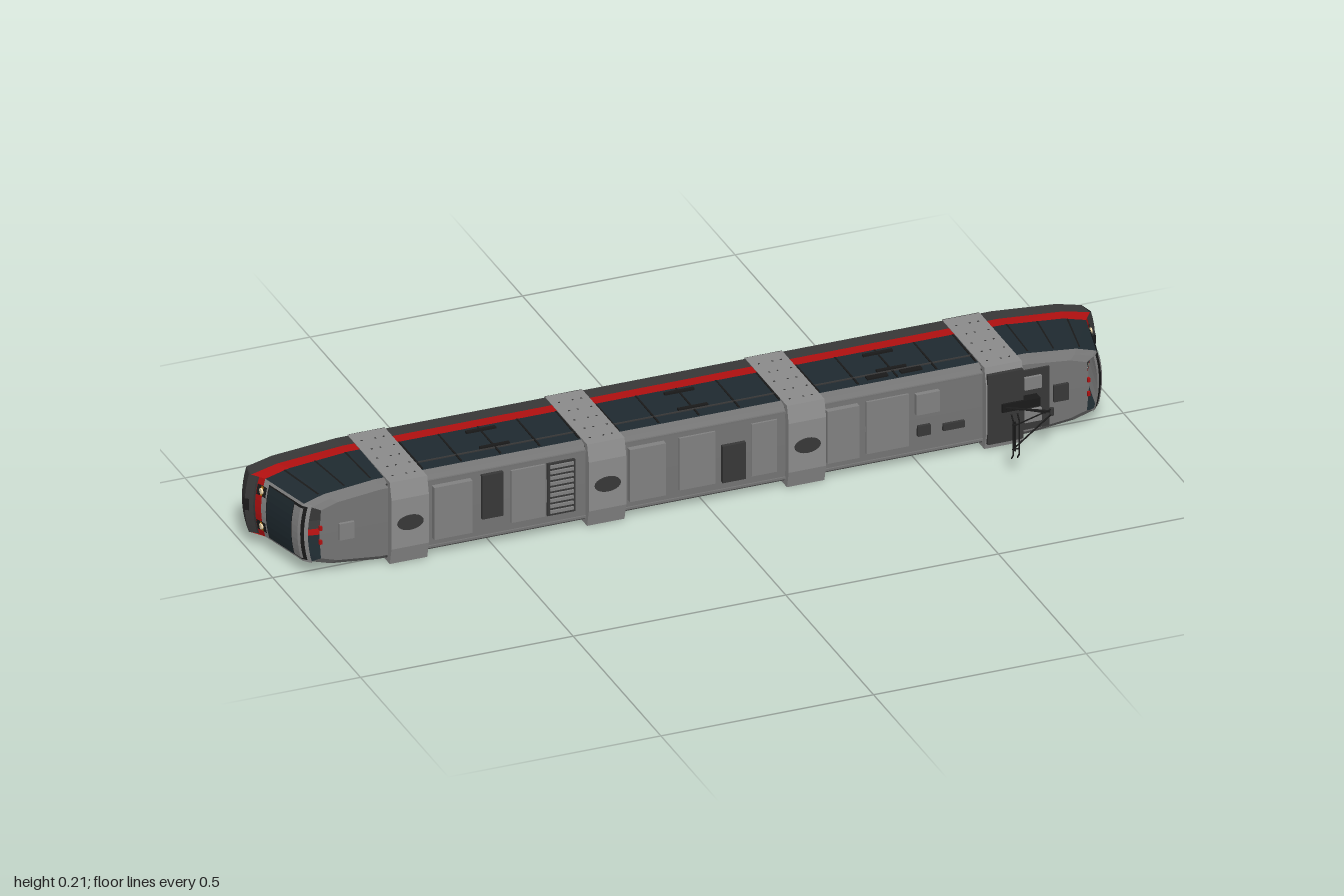
import * as THREE from 'three';

const C = { grey: 0x8c8c8c, roof: 0x757575, panel: 0x828282, dark: 0x383838, black: 0x1a1a1a,
  red: 0xb01010, glass: 0x1f2a30, orange: 0xb87310, cream: 0xf2dcb0 };
const mats = {};
const mat = (c) => (mats[c] ??= new THREE.MeshStandardMaterial({
  color: C[c], flatShading: true, side: THREE.DoubleSide }));

// The tram is modelled upright (x along, y up, z across) and then laid on its back.
export function createModel() {
  const model = new THREE.Group();
  const tram = new THREE.Group();
  tram.name = 'tram';
  tram.rotation.x = Math.PI / 2;
  tram.position.y = 0.103;
  model.add(tram);

  const add = (name, geo, color, parent = tram) => {
    const m = new THREE.Mesh(geo, mat(color));
    m.name = name;
    parent.add(m);
    return m;
  };
  // box given by its limits on each axis
  const box = (name, color, x0, x1, y0, y1, z0, z1) => {
    const m = add(name, new THREE.BoxGeometry(Math.abs(x1 - x0), Math.abs(y1 - y0), Math.abs(z1 - z0)), color);
    m.position.set((x0 + x1) / 2, (y0 + y1) / 2, (z0 + z1) / 2);
    return m;
  };
  // surface through rows of points
  const loft = (name, color, rows) => {
    const n = rows[0].length, idx = [];
    for (let i = 0; i < rows.length - 1; i++)
      for (let j = 0; j < n - 1; j++) {
        const a = i * n + j, b = a + n;
        idx.push(a, b, a + 1, b, b + 1, a + 1);
      }
    const g = new THREE.BufferGeometry();
    g.setAttribute('position', new THREE.Float32BufferAttribute(rows.flat(2), 3));
    g.setIndex(idx);
    g.computeVertexNormals();
    return add(name, g, color);
  };
  const rod = (name, color, pts, r = 0.002) => {
    for (let i = 0; i < pts.length - 1; i++) {
      const a = new THREE.Vector3(...pts[i]), b = new THREE.Vector3(...pts[i + 1]);
      const m = add(name, new THREE.CylinderGeometry(r, r, a.distanceTo(b), 6), color);
      m.position.copy(a).add(b).multiplyScalar(0.5);
      m.quaternion.setFromUnitVectors(new THREE.Vector3(0, 1, 0), b.sub(a).normalize());
    }
  };
  const lerpTable = (t, v) => {
    if (v <= t[0][0]) return t[0][1];
    for (let i = 1; i < t.length; i++)
      if (v <= t[i][0]) return THREE.MathUtils.mapLinear(v, t[i - 1][0], t[i][0], t[i - 1][1], t[i][1]);
    return t[t.length - 1][1];
  };

  // half cross-section [height, half width], by colour band
  const W = 0.0985;
  const bands = [
    ['skirt', 'dark', [[-0.195, 0], [-0.195, W], [-0.157, W]]],
    ['redStripe', 'red', [[-0.157, W], [-0.127, W]]],
    ['sideGlazing', 'glass', [[-0.127, W], [0.01, 0.0965]]],
    ['roofShell', 'roof', [[0.01, 0.0965], [0.026, 0.092], [0.034, 0.082], [0.035, 0]]],
  ];
  const cabNose = [[-0.195, 0.992], [-0.16, 1], [-0.148, 0.985], [-0.127, 0.975], [0.01, 0.942], [0.026, 0.928], [0.035, 0.905]];
  const cabTaper = [[0, 1], [0.12, 1], [0.75, 0.87], [1, 0.72]];
  const BOW = 0.01, START = 0.742;
  const cabPoint = (t, h, w) =>
    [THREE.MathUtils.lerp(START, lerpTable(cabNose, h) - BOW * (w / W) ** 2, t), h, w * lerpTable(cabTaper, t)];

  // three middle cars
  const cars = [[-0.655, -0.278], [-0.193, 0.193], [0.278, 0.655]];
  for (const [x0, x1] of cars) {
    for (const s of [1, -1]) {
      for (const [name, color, pts] of bands)
        loft(name, color, [x0, x1].map((x) => pts.map(([h, w]) => [x, h, s * w])));
      // window and door posts, transom
      for (let i = 0; i <= 4; i++) {
        const x = THREE.MathUtils.lerp(x0 + 0.004, x1 - 0.004, i / 4);
        box('windowPost', 'black', x - 0.002, x + 0.002, -0.127, 0.005, s * 0.096, s * 0.0993);
      }
      box('windowTransom', 'dark', x0, x1, -0.026, -0.022, s * 0.096, s * 0.0993);
      // side markers
      const mid = (x0 + x1) / 2;
      for (const y of [-0.03, -0.108])
        box('sideMarker', s > 0 ? 'orange' : 'black', mid - 0.035, mid + 0.035, y - 0.004, y + 0.004, s * 0.098, s * 0.103);
    }
    for (const x of [x0, x1]) box('bulkhead', 'dark', x - 0.002, x + 0.002, -0.194, 0.03, -0.09, 0.09);
  }
  for (const x of [0.4, 0.48]) box('sideVent', 'black', x, x + 0.05, -0.018, -0.004, -0.096, -0.1005);

  // tapered cabs at both ends
  for (const e of [1, -1]) {
    const flip = (p) => [p[0] * e, p[1], p[2]];
    for (const s of [1, -1]) {
      for (const [name, color, pts] of bands)
        loft('cab ' + name, color, cabTaper.map(([t]) => {
          return pts.map(([h, w]) => flip(cabPoint(t, h, s * w)));
        }));
      for (const t of [0.16, 0.48, 0.8]) {
        const post = (d) => [-0.127, 0.005].map((h) => {
          const p = flip(cabPoint(t + d, h, s * W));
          p[2] += s * 0.001;
          return p;
        });
        loft('cabWindowPost', 'black', [post(-0.01), post(0.01)]);
      }
    }
    box('bulkhead', 'dark', e * 0.742, e * 0.746, -0.194, 0.03, -0.09, 0.09);

    // patch on the bowed nose; u runs across from -1 to 1
    const patch = (name, color, h0, h1, u0, u1, out = 0) => {
      const hs = [h0, ...cabNose.map((p) => p[0]).filter((h) => h > h0 && h < h1), h1];
      loft(name, color, hs.map((h) => Array.from({ length: 9 }, (_, i) => {
        const p = cabPoint(1, h, W * THREE.MathUtils.lerp(u0, u1, i / 8));
        p[0] += out;
        return flip(p);
      })));
    };
    patch('bumper', 'dark', -0.195, -0.143, -1, 1);
    patch('frontStripe', 'red', -0.143, -0.127, -1, 1);
    patch('windscreenFrame', 'grey', -0.127, 0.026, -1, 1);
    patch('windscreenSurround', 'black', -0.108, 0.02, -0.92, 0.92, 0.0015);
    patch('windscreen', 'glass', -0.104, -0.015, -0.89, 0.89, 0.003);
    patch('destinationPanel', 'panel', -0.012, 0.015, -0.86, 0.86, 0.004);
    patch('couplerCover', 'black', -0.168, -0.153, -0.2, 0.2, 0.0015);
    for (const s of [1, -1]) {
      const u = s * 0.61;
      patch('lampHousing', 'black', -0.14, -0.112, u - 0.17, u + 0.17, 0.002);
      patch('indicator', 'orange', -0.129, -0.122, u - 0.16, u + 0.16, 0.003);
      const lamp = add('headlight', new THREE.CylinderGeometry(0.007, 0.007, 0.004, 16), 'cream');
      lamp.rotation.z = Math.PI / 2;
      lamp.position.set(e * 0.975, -0.126, s * 0.043);
      box('tailLight', 'red', e * 0.9, e * 0.906, 0.033, 0.04, s * 0.012, s * 0.022);
    }
  }

  // articulation covers: an inverted U with a raised floor
  const u = new THREE.Shape([
    [-0.1, -0.197], [-0.1, 0.044], [-0.06, 0.054], [0.06, 0.054], [0.1, 0.044], [0.1, -0.197],
    [0.075, -0.197], [0.075, -0.175], [-0.075, -0.175], [-0.075, -0.197],
  ].map((p) => new THREE.Vector2(...p)));
  const coverGeo = new THREE.ExtrudeGeometry(u, { depth: 0.088, bevelEnabled: false });
  coverGeo.translate(0, 0, -0.044).rotateY(Math.PI / 2);
  for (const x of [-0.699, -0.235, 0.235, 0.699]) {
    add('articulationCover', coverGeo, 'grey').position.x = x;
    box('articulationFloor', 'dark', x - 0.043, x + 0.043, -0.18, -0.174, -0.075, 0.075);
    for (const s of [1, -1]) {
      box('articulationSill', 'dark', x - 0.044, x + 0.044, -0.198, -0.196, s * 0.074, s * 0.1);
      for (let i = 0; i < 15; i++) {
        const rx = x + ((i % 3) - 1) * 0.026 + (i % 2) * 0.006, ry = -0.16 + Math.floor(i / 3) * 0.044;
        box('rivet', 'dark', rx - 0.002, rx + 0.002, ry - 0.002, ry + 0.002, s * 0.0995, s * 0.1006);
      }
    }
    if (x < 0.5) {
      const hatch = add('roofHatch', new THREE.CylinderGeometry(0.018, 0.018, 0.004, 20), 'dark');
      hatch.scale.x = 1.7;
      hatch.position.set(x, 0.055, 0);
    }
  }

  // roof equipment: name, colour, x limits, z limits, top
  const equipment = [
    ['ventBox', 'panel', -0.86, -0.825, -0.02, 0.02, 0.042],
    ['ventBox', 'dark', 0.82, 0.855, -0.02, 0.02, 0.042],
    ['airUnit', 'panel', -0.64, -0.55, -0.068, 0.06, 0.048],
    ['airUnit', 'panel', -0.18, -0.095, -0.068, 0.06, 0.048],
    ['airUnit', 'panel', 0.285, 0.36, -0.068, 0.06, 0.048],
    ['resistorBox', 'dark', -0.525, -0.475, -0.072, 0.035, 0.044],
    ['roofPlate', 'panel', -0.455, -0.375, -0.068, 0.06, 0.039],
    ['louvreBase', 'dark', -0.37, -0.305, -0.068, 0.06, 0.04],
    ['roofPlate', 'panel', -0.06, 0.025, -0.068, 0.06, 0.039],
    ['resistorBox', 'dark', 0.04, 0.095, -0.03, 0.06, 0.044],
    ['roofPlate', 'panel', 0.11, 0.17, -0.068, 0.06, 0.039],
    ['roofPlate', 'panel', 0.38, 0.48, -0.068, 0.06, 0.039],
    ['switchBox', 'panel', 0.495, 0.55, -0.065, -0.015, 0.046],
    ['cableBox', 'dark', 0.5, 0.53, 0.015, 0.04, 0.042],
    ['cableBox', 'dark', 0.56, 0.61, 0.022, 0.038, 0.042],
    ['pantographWell', 'dark', 0.658, 0.742, -0.085, 0.085, 0.057],
    ['pantographWell', 'dark', 0.742, 0.81, -0.07, 0.075, 0.039],
    ['pantographDrive', 'black', 0.69, 0.78, -0.01, 0.01, 0.062],
    ['insulator', 'panel', 0.75, 0.79, -0.055, -0.025, 0.046],
    ['insulator', 'panel', 0.75, 0.79, 0.025, 0.055, 0.046],
  ];
  for (const [name, color, x0, x1, z0, z1, top] of equipment) box(name, color, x0, x1, 0.03, top, z0, z1);
  for (let i = 0; i < 9; i++)
    box('louvreSlat', 'panel', -0.365, -0.31, 0.04, 0.044, -0.064 + i * 0.0138, -0.057 + i * 0.0138);
  for (const s of [1, -1])
    for (const [x0, x1] of cars) box('roofRail', 'roof', x0, x1, 0.03, 0.038, s * 0.078, s * 0.083);

  // pantograph: single lower arm, forked upper arm, two collector bars with horns
  const knee = [0.785, 0.113, 0];
  rod('pantographLowerArm', 'black', [[0.695, 0.058, 0], knee], 0.003);
  rod('pantographKnee', 'dark', [[0.785, 0.113, -0.009], [0.785, 0.113, 0.009]], 0.005);
  rod('pantographLink', 'black', [[0.72, 0.058, 0.006], [0.775, 0.105, 0.006]], 0.0012);
  for (const s of [1, -1])
    rod('pantographUpperArm', 'black', [[0.785, 0.113, s * 0.006], [0.667, 0.19, s * 0.027]], 0.0018);
  for (const x of [0.66, 0.674])
    rod('collectorBar', 'black', [[x, 0.187, -0.054], [x, 0.196, -0.043], [x, 0.197, -0.032],
      [x, 0.197, 0.032], [x, 0.196, 0.043], [x, 0.187, 0.054]], 0.0018);
  for (const z of [-0.03, 0.03]) rod('collectorBrace', 'black', [[0.66, 0.192, z], [0.674, 0.192, z]], 0.002);
  rod('collectorAxle', 'black', [[0.667, 0.19, -0.036], [0.667, 0.19, 0.036]], 0.002);
  return model;
}
